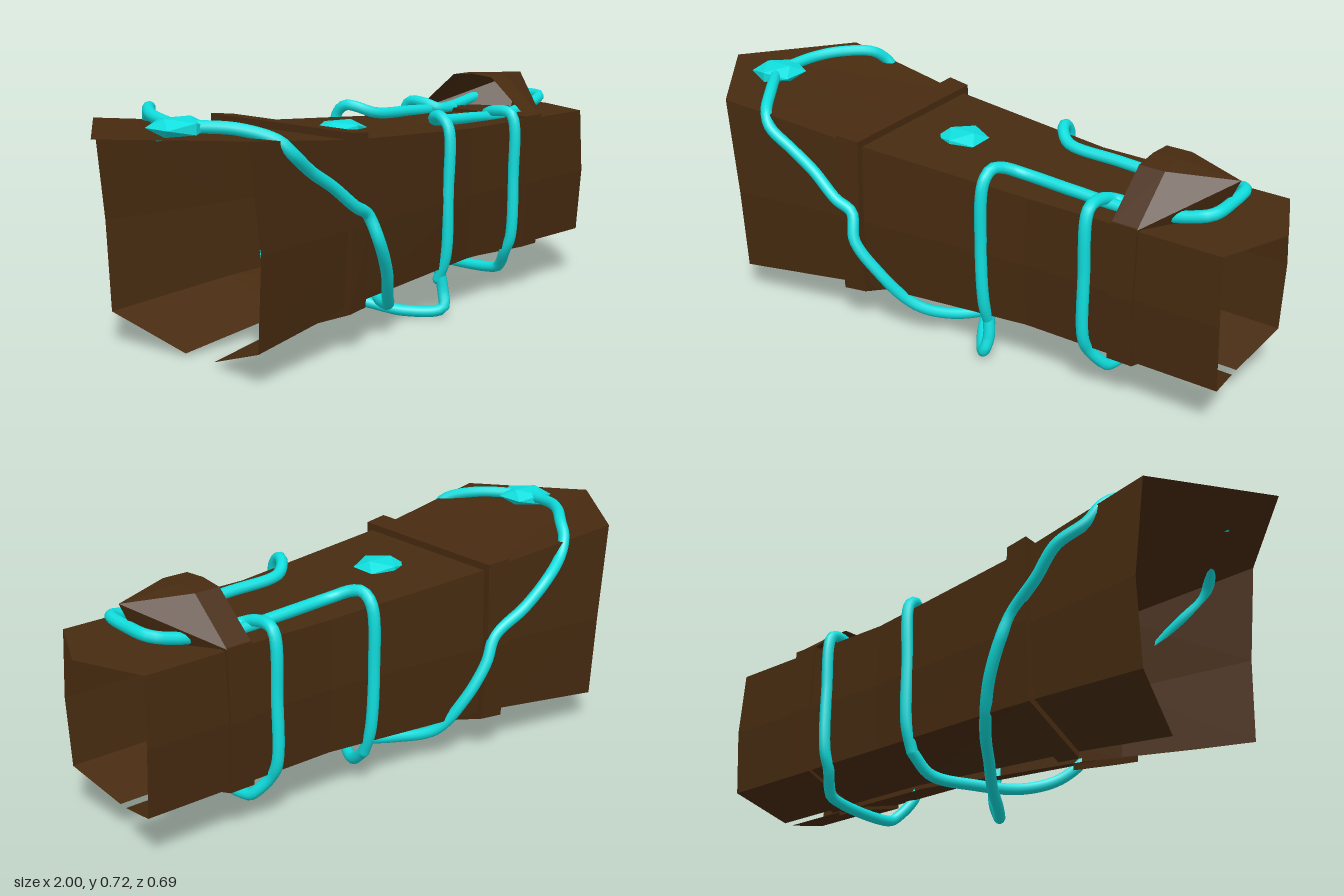
import * as THREE from 'three';

// body stations: x, half width, top y, lower corner y, flap edge y, flap edge z
const STATIONS = [
  [-0.72, 0.32, 0.675, 0.1, 0.01, 0.06],
  [-0.29, 0.265, 0.62, 0.14, 0.055, 0.04],
  [0.3, 0.215, 0.582, 0.162, 0.1, 0.015],
  [0.92, 0.213, 0.578, 0.16, 0.1, 0.015],
];

function station(x) {
  let i = 0;
  while (i < STATIONS.length - 2 && x > STATIONS[i + 1][0]) i++;
  const a = STATIONS[i], b = STATIONS[i + 1];
  const t = (x - a[0]) / (b[0] - a[0]);
  return a.map((v, k) => v + (b[k] - v) * t);
}

// open cross-section: flap edge, corner, middle, top corner, ridge, then mirrored;
// grow pushes it outwards, dx shifts each kind of point along x
function section(x, grow = 0, dx = [0, 0, 0, 0, 0]) {
  const [, w, top, corner, edgeY, edgeZ] = station(x);
  const half = [
    [x + dx[0], edgeY - grow, edgeZ],
    [x + dx[1], corner - grow * 0.6, w - 0.01 + grow],
    [x + dx[2], 0.37, w + 0.006 + grow],
    [x + dx[3], top + grow, w + grow],
  ];
  const ridge = [x + dx[4], top + grow, 0];
  return [...half, ridge, ...half.map(([a, b, c]) => [a, b, -c]).reverse()];
}

function facets(triangles) {
  const g = new THREE.BufferGeometry();
  g.setAttribute('position', new THREE.Float32BufferAttribute(triangles.flat(2), 3));
  g.computeVertexNormals();
  return g;
}

// flat-faced skin through rows of points
function skin(rows) {
  const tris = [];
  for (let r = 0; r < rows.length - 1; r++) {
    for (let i = 0; i < rows[r].length - 1; i++) {
      const a = rows[r][i], b = rows[r][i + 1], c = rows[r + 1][i + 1], d = rows[r + 1][i];
      tris.push([a, b, c], [a, c, d]);
    }
  }
  return facets(tris);
}

export function createModel() {
  const group = new THREE.Group();
  const leather = new THREE.MeshStandardMaterial({ color: 0x472b10, side: THREE.DoubleSide, flatShading: true });
  leather.name = 'brown leather';
  const cyan = new THREE.MeshStandardMaterial({ color: 0x10dede });
  cyan.name = 'bright cyan';
  const crystal = cyan;

  const add = (name, geometry, material) => {
    const mesh = new THREE.Mesh(geometry, material);
    mesh.name = name;
    group.add(mesh);
    return mesh;
  };

  // forearm sleeve with pointed top ends and a slit underneath
  add('sleeve', skin([
    section(-0.72, 0, [0.07, 0.005, 0.005, -0.03, -0.28]),
    section(-0.29),
    section(0.3),
    section(0.92, 0, [-0.04, 0, 0, -0.01, 0.08]),
  ]), leather);

  // raised bands with rims
  for (const [name, x0, x1, grow] of [['elbowBand', -0.33, -0.255, 0.022], ['wristBand', 0.58, 0.66, 0.012]]) {
    add(name, skin([section(x0), section(x0, grow), section(x1, grow), section(x1)]), leather);
  }

  // peaked hood over the wrist, closed below its front edge
  const foot = [0.8, 0.585, 0], tip = [0.85, 0.7, 0];
  const arch = (x) => [
    [x, 0.588, 0.225], [x, 0.708, 0.08], [x, 0.715, 0],
    [x, 0.708, -0.08], [x, 0.588, -0.225],
  ];
  add('hoodStrap', skin([arch(0.58), arch(0.66)]), leather);
  const rim = arch(0.66), peak = [];
  for (let i = 0; i < 4; i++) peak.push([rim[i], rim[i + 1], tip]);
  peak.push([rim[0], tip, foot], [rim[4], foot, tip]);
  add('hoodPeak', facets(peak), leather);

  // glowing tubes
  const tube = (name, pts, radius = 0.018) => {
    const curve = new THREE.CatmullRomCurve3(pts.map((p) => new THREE.Vector3(...p)), false, 'centripetal');
    add(name, new THREE.TubeGeometry(curve, pts.length * 6, radius, 10), cyan);
    for (const p of [pts[0], pts[pts.length - 1]]) {
      add(name + 'End', new THREE.SphereGeometry(radius, 10, 6), cyan).position.set(...p);
    }
  };
  const mirror = (pts) => pts.map(([x, y, z]) => [x, y, -z]).reverse();

  tube('leftSideTube', [
    [-0.76, 0.69, 0.07], [-0.67, 0.685, 0.2], [-0.61, 0.655, 0.29], [-0.58, 0.62, 0.31],
    [-0.5, 0.56, 0.3], [-0.42, 0.51, 0.3], [-0.33, 0.44, 0.305], [-0.275, 0.41, 0.3],
    [-0.25, 0.33, 0.322], [-0.18, 0.22, 0.29], [-0.12, 0.13, 0.24], [-0.07, 0.09, 0.2],
    [0.0, 0.06, 0.12], [0.08, 0.055, 0], [0.15, 0.065, -0.13], [0.165, 0.12, -0.2],
  ]);
  tube('rightSideTube', [
    [-0.76, 0.69, 0.04], [-0.73, 0.7, -0.08], [-0.68, 0.705, -0.16], [-0.61, 0.695, -0.24],
    [-0.585, 0.66, -0.28], [-0.55, 0.61, -0.3], [-0.46, 0.555, -0.328], [-0.38, 0.48, -0.315],
    [-0.28, 0.41, -0.295], [-0.24, 0.33, -0.3], [-0.18, 0.22, -0.275], [-0.12, 0.11, -0.21],
    [-0.05, 0.065, -0.1], [0.03, 0.04, 0.02], [0.09, 0.02, 0.13], [0.16, 0.032, 0.225],
    [0.172, 0.08, 0.215], [0.165, 0.15, 0.205],
  ]);

  // forearm loop running up both sides, along the top and around under the hood
  const forearm = [
    [0.165, 0.12, 0.2], [0.165, 0.2, 0.23], [0.16, 0.4, 0.24], [0.165, 0.6, 0.235],
    [0.17, 0.632, 0.2], [0.185, 0.628, 0.165], [0.23, 0.608, 0.128], [0.4, 0.597, 0.125],
    [0.6, 0.59, 0.125], [0.76, 0.615, 0.12], [0.82, 0.63, 0.1],
  ];
  tube('forearmLoop', [...forearm, [0.83, 0.63, 0], ...mirror(forearm)]);

  // wrist loop passing underneath
  const wrist = [
    [0.6, 0.59, 0.1], [0.525, 0.597, 0.105], [0.507, 0.612, 0.15], [0.505, 0.605, 0.22],
    [0.505, 0.4, 0.232], [0.505, 0.2, 0.225], [0.51, 0.15, 0.2], [0.535, 0.1, 0.165], [0.545, 0.08, 0.14],
  ];
  tube('wristLoop', [...wrist, ...mirror(wrist)]);

  // flattened crystals
  for (const [name, x, y, z, r] of [['elbowCrystal', -0.76, 0.688, 0.06, 0.088], ['forearmCrystal', -0.07, 0.603, 0.005, 0.082]]) {
    const gem = add(name, new THREE.IcosahedronGeometry(r, 0), crystal);
    gem.position.set(x, y, z);
    gem.scale.set(1, 0.34, 1);
  }
  return group;
}
